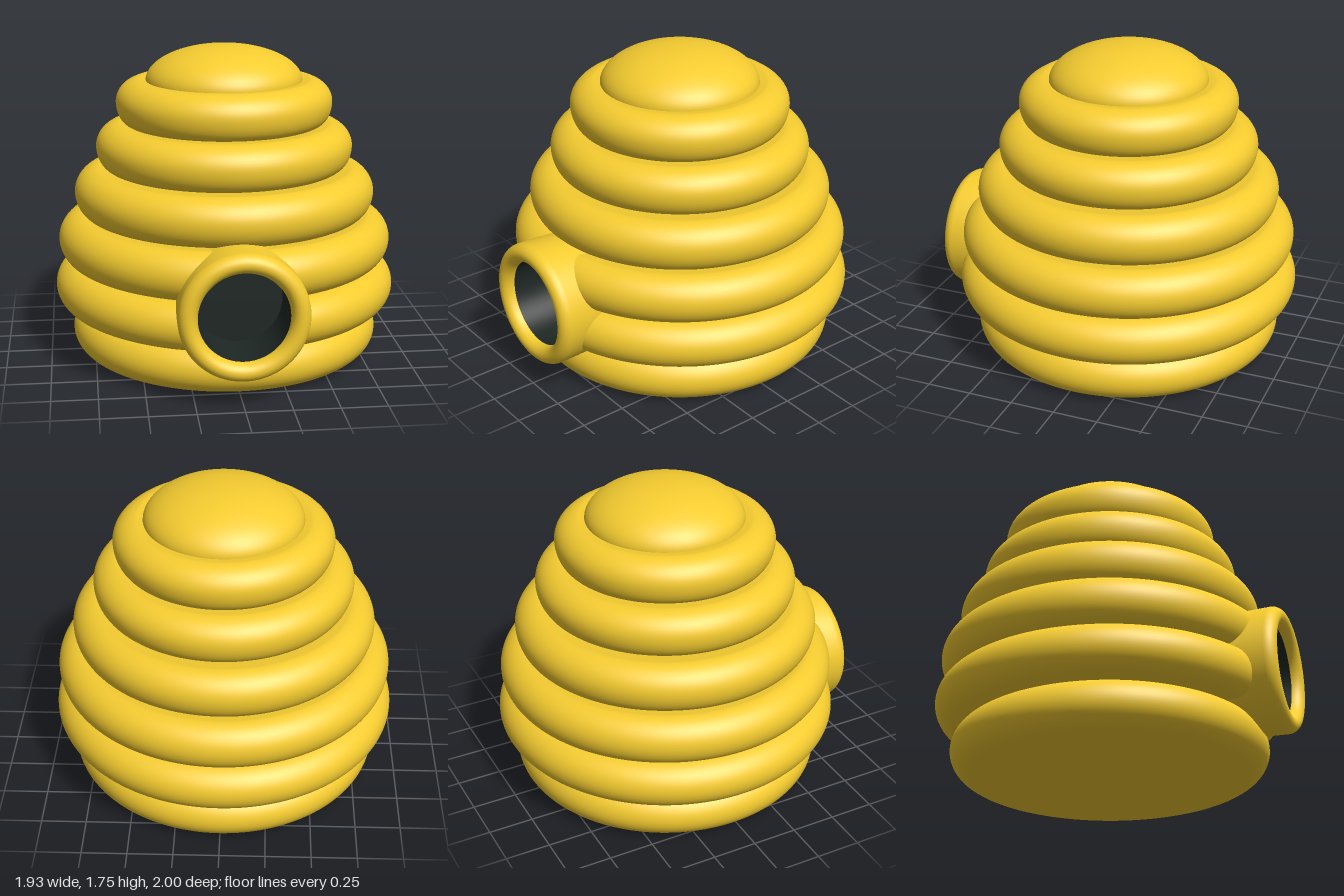
import * as THREE from 'three';

const HIVE_Z = -0.036;                              // hive axis, the entrance sticks out in front
const HOLE = { y: 0.495, inner: 0.24, outer: 0.344, cut: 0.285 };

// [outer radius, bottom y, top y, width of lower rounding]
const RINGS = [
  [0.87, 0, 0.265, 0.14],
  [0.963, 0.265, 0.53, 0.13],
  [0.94, 0.53, 0.8, 0.12],
  [0.845, 0.8, 1.065, 0.1],
  [0.72, 1.065, 1.315, 0.085],
  [0.605, 1.315, 1.56, 0.075],
];

// Closed-looking straw coil: flat below and above, elliptical outer edge
function ringGeometry([radius, y0, y1, low], isBase) {
  const mid = (y0 + y1) / 2, half = (y1 - y0) / 2, high = 0.135;
  const pts = [new THREE.Vector2(isBase ? 0 : radius - 0.28, y0)];
  const steps = 24;
  for (let i = 0; i <= steps; i++) {
    const a = -Math.PI / 2 + (Math.PI * i) / steps;
    const w = a < 0 ? low : high;
    pts.push(new THREE.Vector2(radius - w + w * Math.cos(a), mid + half * Math.sin(a)));
  }
  // the coil dips slightly towards its centre
  pts.push(new THREE.Vector2(radius - 0.28, y1 - 0.02));
  return new THREE.LatheGeometry(pts, 160);
}

// Drop the triangles that would block the entrance tunnel
function cutEntrance(geometry) {
  const pos = geometry.attributes.position, idx = geometry.index.array, kept = [];
  for (let i = 0; i < idx.length; i += 3) {
    const tri = [idx[i], idx[i + 1], idx[i + 2]];
    const mean = (f) => tri.reduce((s, v) => s + f(v), 0) / 3;
    const x = mean((v) => pos.getX(v)), y = mean((v) => pos.getY(v)), z = mean((v) => pos.getZ(v));
    if (z < 0.6 || Math.hypot(x, y - HOLE.y) > HOLE.cut) kept.push(...tri);
  }
  geometry.setIndex(kept);
  return geometry;
}

export function createModel() {
  const model = new THREE.Group();
  model.name = 'beehive';
  const straw = new THREE.MeshStandardMaterial({ color: 0xf5cc30 });
  const dark = new THREE.MeshStandardMaterial({ color: 0x1e2724 });
  const darkInside = new THREE.MeshStandardMaterial({ color: 0x1e2724, side: THREE.BackSide });

  const add = (parent, name, geometry, material) => {
    const mesh = new THREE.Mesh(geometry, material);
    mesh.name = name;
    parent.add(mesh);
    return mesh;
  };

  // Stacked coils
  const body = new THREE.Group();
  body.name = 'hiveBody';
  body.position.z = HIVE_Z;
  model.add(body);
  RINGS.forEach((ring, i) => {
    let geometry = ringGeometry(ring, i === 0);
    if (i < 3) geometry = cutEntrance(geometry);
    add(body, `coil${i + 1}`, geometry, straw);
  });

  // Domed cap
  const cap = new THREE.SphereGeometry(0.438, 96, 24, 0, Math.PI * 2, 0, Math.PI / 2 + 0.2);
  cap.scale(1, 0.2 / 0.438, 1);
  add(body, 'cap', cap, straw).position.y = 1.55;

  // Entrance collar with a rounded lip
  const entrance = new THREE.Group();
  entrance.name = 'entrance';
  entrance.position.y = HOLE.y;
  model.add(entrance);
  const lipMid = (HOLE.inner + HOLE.outer) / 2, lipR = (HOLE.outer - HOLE.inner) / 2, lipZ = 0.94;
  const profile = [new THREE.Vector2(HOLE.outer - 0.015, 0.58), new THREE.Vector2(HOLE.outer - 0.003, 0.82)];
  for (let i = 0; i <= 16; i++) {
    const a = (Math.PI * i) / 16;
    profile.push(new THREE.Vector2(lipMid + lipR * Math.cos(a), lipZ + (1 - lipZ) * Math.sin(a)));
  }
  add(entrance, 'collar', new THREE.LatheGeometry(profile, 96).rotateX(Math.PI / 2), straw);

  // Dark tunnel and its back wall
  const depth = 0.3;
  const tunnel = new THREE.CylinderGeometry(HOLE.inner, HOLE.inner, depth, 96, 1, true).rotateX(Math.PI / 2);
  add(entrance, 'tunnel', tunnel, darkInside).position.z = lipZ - depth / 2;
  add(entrance, 'tunnelBack', new THREE.CircleGeometry(HOLE.inner, 96), dark).position.z = lipZ - depth;

  return model;
}
